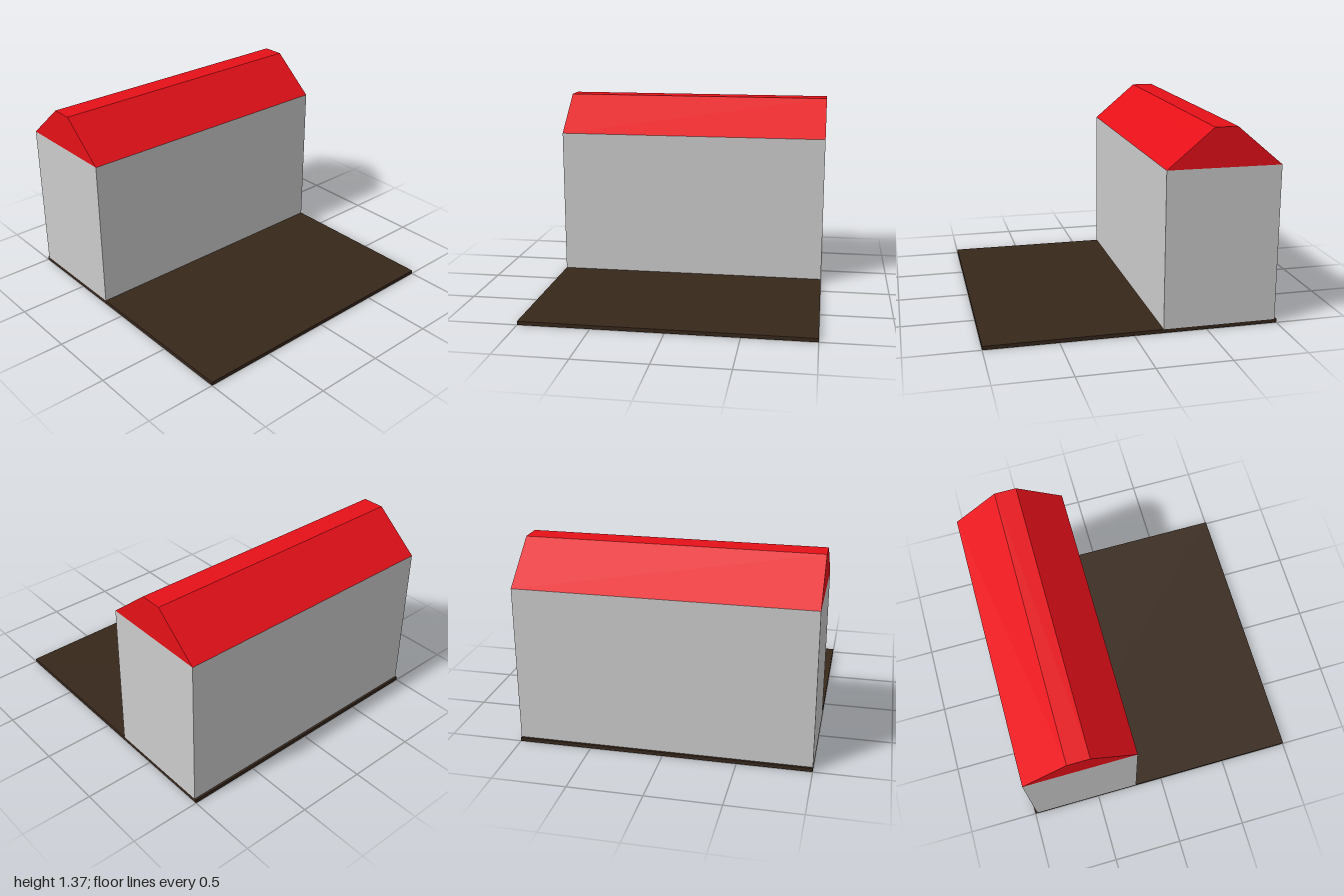
import * as THREE from 'three';

const LENGTH = 2;
const BASE_TOP = 0.026, EAVES = 1.105, RIDGE = 1.37;
const WALL_LEFT = -0.2, WALL_RIGHT = -0.985;

// Straight prism along z from an outline in x and y
function prism(name, outline, material) {
  const shape = new THREE.Shape(outline.map(([x, y]) => new THREE.Vector2(x, y)));
  const geometry = new THREE.ExtrudeGeometry(shape, { depth: LENGTH, bevelEnabled: false });
  geometry.translate(0, 0, -LENGTH / 2);
  const mesh = new THREE.Mesh(geometry, material);
  mesh.name = name;
  return mesh;
}

export function createModel() {
  const group = new THREE.Group();
  group.name = 'barn';
  const grey = new THREE.MeshStandardMaterial({ color: 0xcccccc });
  const red = new THREE.MeshStandardMaterial({ color: 0xe61018 });
  const brown = new THREE.MeshStandardMaterial({ color: 0x37271b });

  // Square ground slab
  const slab = new THREE.Mesh(new THREE.BoxGeometry(2, BASE_TOP, LENGTH), brown);
  slab.name = 'groundSlab';
  slab.position.y = BASE_TOP / 2;
  group.add(slab);

  // Long hall along one edge of the slab
  const walls = new THREE.Mesh(
    new THREE.BoxGeometry(WALL_LEFT - WALL_RIGHT, EAVES - BASE_TOP, LENGTH), grey);
  walls.name = 'walls';
  walls.position.set((WALL_LEFT + WALL_RIGHT) / 2, (EAVES + BASE_TOP) / 2, 0);
  group.add(walls);

  // Roof with sloping sides and a flat ridge
  group.add(prism('roof', [
    [WALL_RIGHT, EAVES], [WALL_LEFT, EAVES], [-0.515, RIDGE], [-0.67, RIDGE],
  ], red));

  return group;
}
